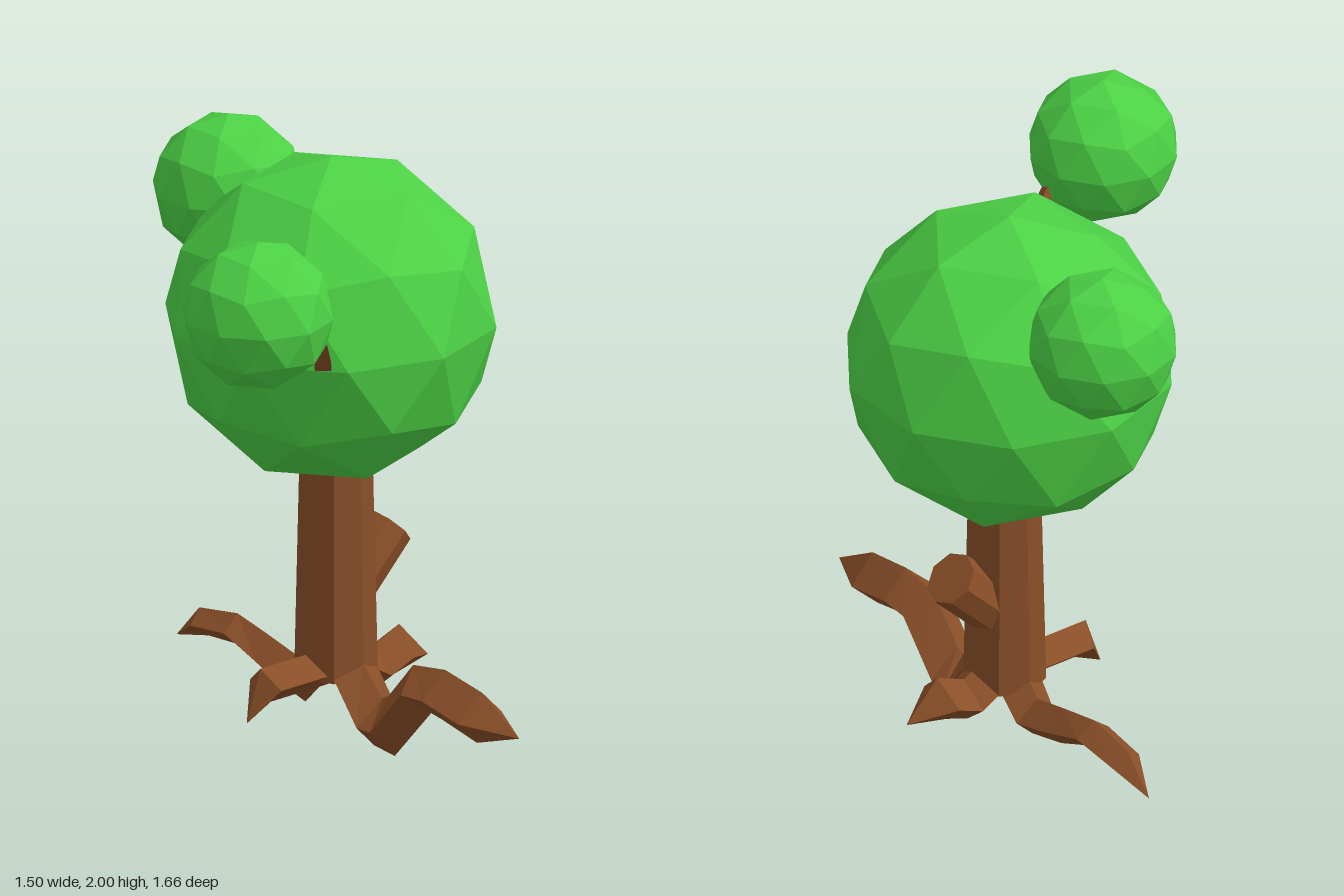
import * as THREE from 'three';

const bark = new THREE.MeshStandardMaterial({ color: 0x8a4f28, flatShading: true });
const leaf = new THREE.MeshStandardMaterial({ color: 0x4cd145, flatShading: true });
const TRUNK_X = 0.225, TRUNK_Z = -0.055;

function add(parent, name, geometry, material) {
  const mesh = new THREE.Mesh(geometry, material);
  mesh.name = name;
  parent.add(mesh);
  return mesh;
}

// Faceted ball of leaves with a corner pointing straight up
function foliage(parent, name, radius, x, y, z) {
  const geometry = new THREE.IcosahedronGeometry(radius, 1);
  geometry.rotateZ(-Math.atan(2 / (1 + Math.sqrt(5))));
  add(parent, name, geometry, leaf).position.set(x, y, z);
}

// Diamond-section root running along +z; each section is
// [top distance, top height, bottom distance, bottom height, half width]
function rootGeometry(sections) {
  const rings = sections.map(([dt, yt, db, yb, w]) => {
    const d = (dt + db) / 2, y = (yt + yb) / 2;
    return [[0, yt, dt], [-w, y, d], [0, yb, db], [w, y, d]];
  });
  const positions = [];
  for (let i = 0; i < rings.length - 1; i++) {
    for (let j = 0; j < 4; j++) {
      const k = (j + 1) % 4;
      const a = rings[i][j], b = rings[i][k], c = rings[i + 1][k], d = rings[i + 1][j];
      positions.push(...a, ...b, ...c);
      if (i < rings.length - 2) positions.push(...a, ...c, ...d); // last span is a point
    }
  }
  const geometry = new THREE.BufferGeometry();
  geometry.setAttribute('position', new THREE.Float32BufferAttribute(positions, 3));
  geometry.computeVertexNormals();
  return geometry;
}

export function createModel() {
  const tree = new THREE.Group();
  tree.name = 'tree';

  // Crown and the two smaller leaf balls
  foliage(tree, 'crown', 0.55, TRUNK_X, 1.44, -0.08);
  foliage(tree, 'sideFoliage', 0.25, -0.51, 1.75, 0.385);
  foliage(tree, 'backFoliage', 0.25, TRUNK_X, 1.75, -0.58);

  // Trunk
  const trunk = new THREE.CylinderGeometry(0.118, 0.136, 0.8, 8);
  add(tree, 'trunk', trunk, bark).position.set(TRUNK_X, 0.62, TRUNK_Z);

  // Cut branch stub, leaning 45 degrees to the left side
  const stub = new THREE.CylinderGeometry(0.092, 0.092, 0.3, 8);
  const stubMesh = add(tree, 'branchStub', stub, bark);
  stubMesh.position.set(0.339, 0.566, TRUNK_Z);
  stubMesh.rotation.z = -Math.PI / 4;

  // Thin twig carrying the side foliage
  const twigPath = new THREE.CatmullRomCurve3([
    new THREE.Vector3(0, 1.36, 0.17),
    new THREE.Vector3(-0.14, 1.45, 0.29),
    new THREE.Vector3(-0.19, 1.53, 0.34),
    new THREE.Vector3(-0.26, 1.62, 0.385),
    new THREE.Vector3(-0.36, 1.7, 0.42),
  ]);
  add(tree, 'twig', new THREE.TubeGeometry(twigPath, 6, 0.032, 3), bark);

  // Roots, each turned about the trunk axis
  const roots = [
    ['frontRoot', 0, [
      [0, 0.42, 0, 0.22, 0.095], [0.13, 0.28, 0.06, 0.19, 0.095], [0.225, 0.185, 0.185, 0.01, 0.095],
      [0.255, 0.2, 0.285, 0, 0.095], [0.375, 0.34, 0.465, 0.2, 0.095],
      [0.53, 0.365, 0.51, 0.19, 0.095], [0.71, 0.335, 0.685, 0.155, 0.095],
      [0.89, 0.225, 0.89, 0.225, 0]]],
    ['leftRoot', Math.PI / 2, [
      [0, 0.36, 0, 0.2, 0.095], [0.09, 0.31, 0.08, 0.15, 0.095], [0.165, 0.265, 0.155, 0.11, 0.095],
      [0.275, 0.312, 0.235, 0.14, 0.095], [0.4, 0.178, 0.4, 0.178, 0]]],
    ['backRoot', Math.PI, [
      [0, 0.38, 0, 0.2, 0.08], [0.12, 0.28, 0.08, 0.14, 0.08], [0.175, 0.215, 0.15, 0.07, 0.075],
      [0.32, 0.25, 0.305, 0.11, 0.07], [0.48, 0.285, 0.465, 0.18, 0.065],
      [0.665, 0.255, 0.62, 0.17, 0.06], [0.775, 0.132, 0.775, 0.132, 0]]],
    ['rightRoot', -Math.PI / 2, [
      [0, 0.305, 0, 0.18, 0.075], [0.33, 0.305, 0.285, 0.18, 0.075],
      [0.39, 0.13, 0.39, 0.13, 0]]],
  ];
  for (const [name, turn, sections] of roots) {
    const root = add(tree, name, rootGeometry(sections), bark);
    root.position.set(TRUNK_X, 0, TRUNK_Z);
    root.rotation.y = turn;
  }
  return tree;
}
